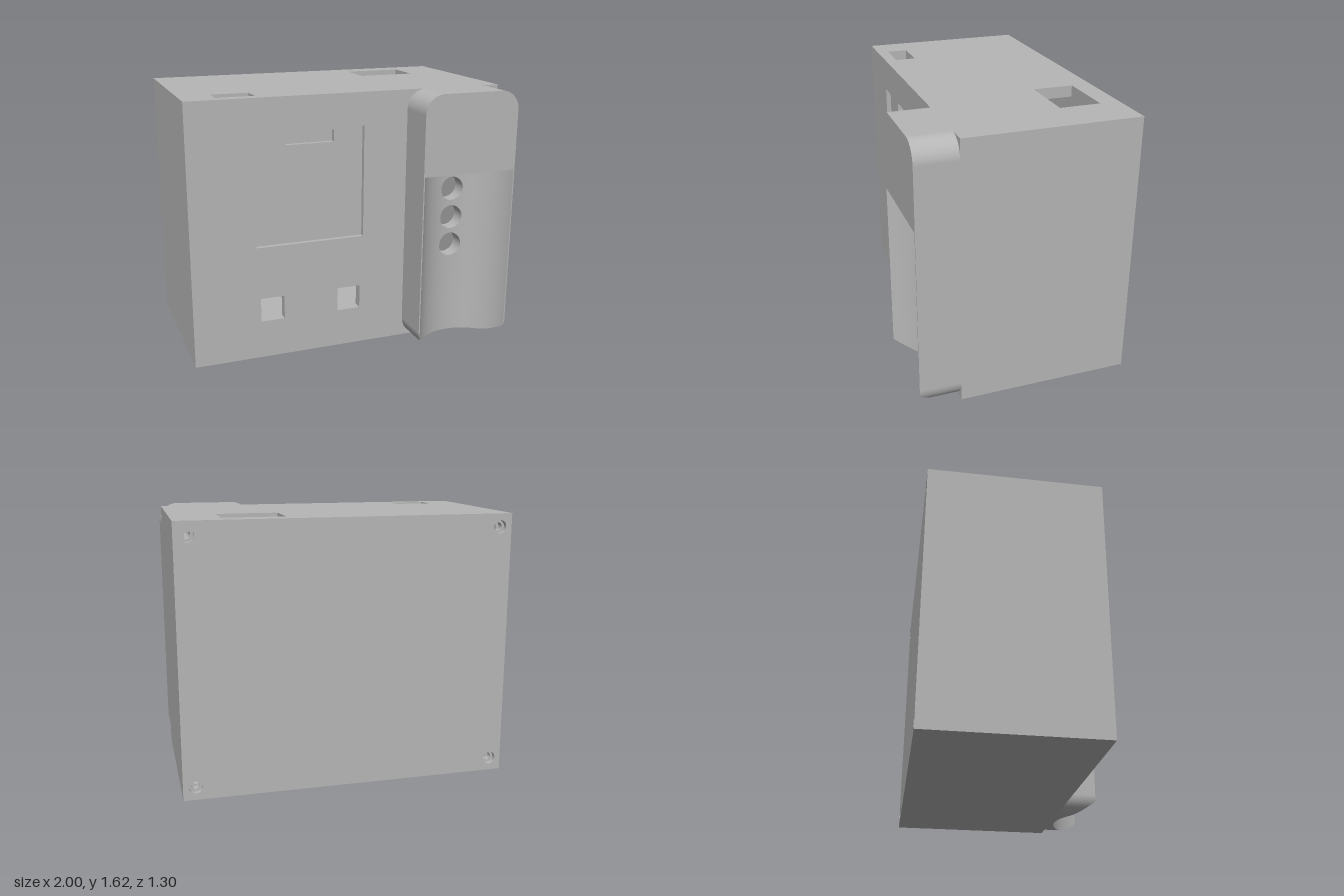
import * as THREE from 'three';

const H = 1.625, BACK = -0.65, FRONT = 0.4, T = 0.07;
const POD = { x: 0.6875, half: 0.3125, r: 0.12, front: 0.65, step: 1.13 };
const GROOVE = { r: 0.32, z: 0.747 };
const HOLES = [0.605, 0.79, 0.98], HOLE_R = 0.077;

const rectPath = (x0, y0, x1, y1) => new THREE.Path([
  new THREE.Vector2(x0, y0), new THREE.Vector2(x1, y0),
  new THREE.Vector2(x1, y1), new THREE.Vector2(x0, y1), new THREE.Vector2(x0, y0)]);
const circlePath = (x, y, r) => new THREE.Path().absarc(x, y, r, 0, Math.PI * 2, false);

// Flat plate with openings, thickened along +z
function plate(x0, y0, x1, y1, holes, depth) {
  const shape = new THREE.Shape(rectPath(x0, y0, x1, y1).getPoints());
  shape.holes.push(...holes);
  return new THREE.ExtrudeGeometry(shape, { depth, bevelEnabled: false, curveSegments: 24 });
}

// Front depth of the grip at a distance dx from its centre line
const grooveZ = dx => Math.min(POD.front,
  GROOVE.z - Math.sqrt(Math.max(0, GROOVE.r ** 2 - dx * dx)));

// Lower edge of the grip with its rounded corners
function podBottom(dx) {
  const d = Math.max(0, Math.abs(dx) - (POD.half - POD.r));
  return POD.r - Math.sqrt(Math.max(0, POD.r ** 2 - d * d));
}

// Hollowed grip face, pierced by round holes, plus its underside and sides
function gripGeometry() {
  const set = [-0.305, 0.305];
  for (let i = 0; i <= 48; i++) set.push(-POD.half * Math.cos(Math.PI * i / 48));
  for (let i = 0; i <= 16; i++) set.push(-HOLE_R * Math.cos(Math.PI * i / 16));
  const xs = set.sort((a, b) => a - b).filter((v, i, s) => i === 0 || v - s[i - 1] > 1e-6);
  const pos = [], nor = [];
  const quad = (pts, ns) => [0, 1, 2, 0, 2, 3].forEach(k => {
    pos.push(...pts[k]);
    nor.push(...ns[k]);
  });
  const faceNormal = (dx, flat) => flat ? [0, 0, 1]
    : [-dx / GROOVE.r, 0, (GROOVE.z - grooveZ(dx)) / GROOVE.r];
  const bottomNormal = dx => {
    const d = Math.max(0, Math.abs(dx) - (POD.half - POD.r)) / POD.r;
    return [Math.sign(dx) * d, -Math.sqrt(Math.max(0, 1 - d * d)), 0];
  };
  const levels = dx => {
    const h = Math.sqrt(Math.max(0, HOLE_R ** 2 - dx * dx));
    return [podBottom(dx), ...HOLES.flatMap(y => [y - h, y + h]), POD.step];
  };
  for (let i = 0; i < xs.length - 1; i++) {
    const a = xs[i], b = xs[i + 1], xa = POD.x + a, xb = POD.x + b;
    const la = levels(a), lb = levels(b), za = grooveZ(a), zb = grooveZ(b);
    const flat = Math.abs(a + b) / 2 > 0.305;
    const na = faceNormal(a, flat), nb = faceNormal(b, flat);
    for (let k = 0; k < la.length; k += 2)
      quad([[xa, la[k], za], [xb, lb[k], zb], [xb, lb[k + 1], zb], [xa, la[k + 1], za]],
        [na, nb, nb, na]);
    const ba = bottomNormal(a), bb = bottomNormal(b);
    quad([[xa, la[0], FRONT], [xb, lb[0], FRONT], [xb, lb[0], zb], [xa, la[0], za]],
      [ba, bb, bb, ba]);
  }
  for (const s of [-1, 1]) {
    const x = POD.x + s * POD.half, n = [s, 0, 0];
    const pts = [[x, POD.r, FRONT], [x, POD.r, POD.front],
      [x, POD.step, POD.front], [x, POD.step, FRONT]];
    quad(s < 0 ? pts : pts.reverse(), [n, n, n, n]);
  }
  const g = new THREE.BufferGeometry();
  g.setAttribute('position', new THREE.Float32BufferAttribute(pos, 3));
  g.setAttribute('normal', new THREE.Float32BufferAttribute(nor, 3));
  return g;
}

export function createModel() {
  const root = new THREE.Group();
  root.name = 'wallEnclosure';
  const grey = new THREE.MeshStandardMaterial({ color: 0xb6b6b6, side: THREE.DoubleSide });
  grey.name = 'plain grey';
  const add = (name, geo, x = 0, y = 0, z = 0) => {
    const m = new THREE.Mesh(geo, grey);
    m.name = name;
    m.position.set(x, y, z);
    root.add(m);
    return m;
  };

  // Front wall in two layers, so the display sits in a shallow recess
  const openings = () => [
    rectPath(-0.58, 0.24, -0.43, 0.39), rectPath(-0.08, 0.24, 0.07, 0.39),
    ...HOLES.map(y => circlePath(POD.x, y, HOLE_R))];
  add('frontPanel', plate(-1, 0, 1, H,
    [rectPath(-0.6, 0.72, 0.09, 1.42), ...openings()], 0.03), 0, 0, FRONT - 0.03);
  add('displayBacking', plate(-1, 0, 1, H,
    [rectPath(-0.4, 1.33, -0.095, 1.405), ...openings()], 0.03), 0, 0, FRONT - 0.06);

  // Back lid with four screw recesses
  const corners = [-0.925, 0.925].flatMap(x => [0.08, H - 0.08].map(y => [x, y]));
  add('backLid', plate(-1, 0, 1, H, corners.map(([x, y]) => circlePath(x, y, 0.04)), T), 0, 0, BACK);

  // Top wall with two connector openings (shape y is -z)
  const zIn = BACK + T, zOut = FRONT - 0.06, len = zOut - zIn, zMid = (zIn + zOut) / 2;
  const top = plate(-1, -zOut, 1, -zIn,
    [rectPath(0.35, 0.28, 0.72, 0.53), rectPath(-0.8, -0.33, -0.57, -0.2)], T);
  top.rotateX(-Math.PI / 2);
  add('topWall', top, 0, H - T, 0);
  add('floor', new THREE.BoxGeometry(2, T, len), 0, T / 2, zMid);
  for (const s of [-1, 1])
    add(s > 0 ? 'leftWall' : 'rightWall',
      new THREE.BoxGeometry(T, H - 2 * T, len), s * (1 - T / 2), H / 2, zMid);

  // Corner screw posts inside the case
  for (const [x, y] of corners) {
    const ring = new THREE.Shape().absarc(0, 0, 0.06, 0, Math.PI * 2, false);
    ring.holes.push(circlePath(0, 0, 0.024));
    add('screwPost', new THREE.ExtrudeGeometry(ring,
      { depth: zOut - BACK - 0.03, bevelEnabled: false, curveSegments: 16 }), x, y, BACK + 0.03);
  }

  // Stepped board pegs standing on the back lid
  for (const x of [-0.4, 0.62]) for (const y of [0.53, 1.15]) {
    const peg = new THREE.LatheGeometry([[0.042, 0], [0.042, 0.12], [0.042, 0.12], [0.033, 0.12],
      [0.033, 0.12], [0.033, 0.38], [0.033, 0.38], [0, 0.38]].map(p => new THREE.Vector2(...p)), 24);
    peg.rotateX(Math.PI / 2);
    add('boardPeg', peg, x, y, zIn);
  }

  // Upper block of the grip, rounded at its two top corners
  const { x: cx, half, r, step } = POD;
  const block = new THREE.Shape();
  block.moveTo(cx - half, step);
  block.lineTo(cx + half, step);
  block.lineTo(cx + half, H - r);
  block.absarc(cx + half - r, H - r, r, 0, Math.PI / 2, false);
  block.lineTo(cx - half + r, H);
  block.absarc(cx - half + r, H - r, r, Math.PI / 2, Math.PI, false);
  block.closePath();
  add('gripTop', new THREE.ExtrudeGeometry(block,
    { depth: POD.front - FRONT, bevelEnabled: false, curveSegments: 16 }), 0, 0, FRONT);

  add('hollowGrip', gripGeometry());

  // Round hole linings, front rims following the hollow
  for (const y of HOLES) {
    const tube = new THREE.CylinderGeometry(HOLE_R, HOLE_R, 1, 48, 1, true);
    tube.rotateX(Math.PI / 2);
    const p = tube.attributes.position;
    for (let i = 0; i < p.count; i++) p.setZ(i, p.getZ(i) > 0 ? grooveZ(p.getX(i)) : zOut);
    add('holeLining', tube, cx, y, 0);
  }
  return root;
}
